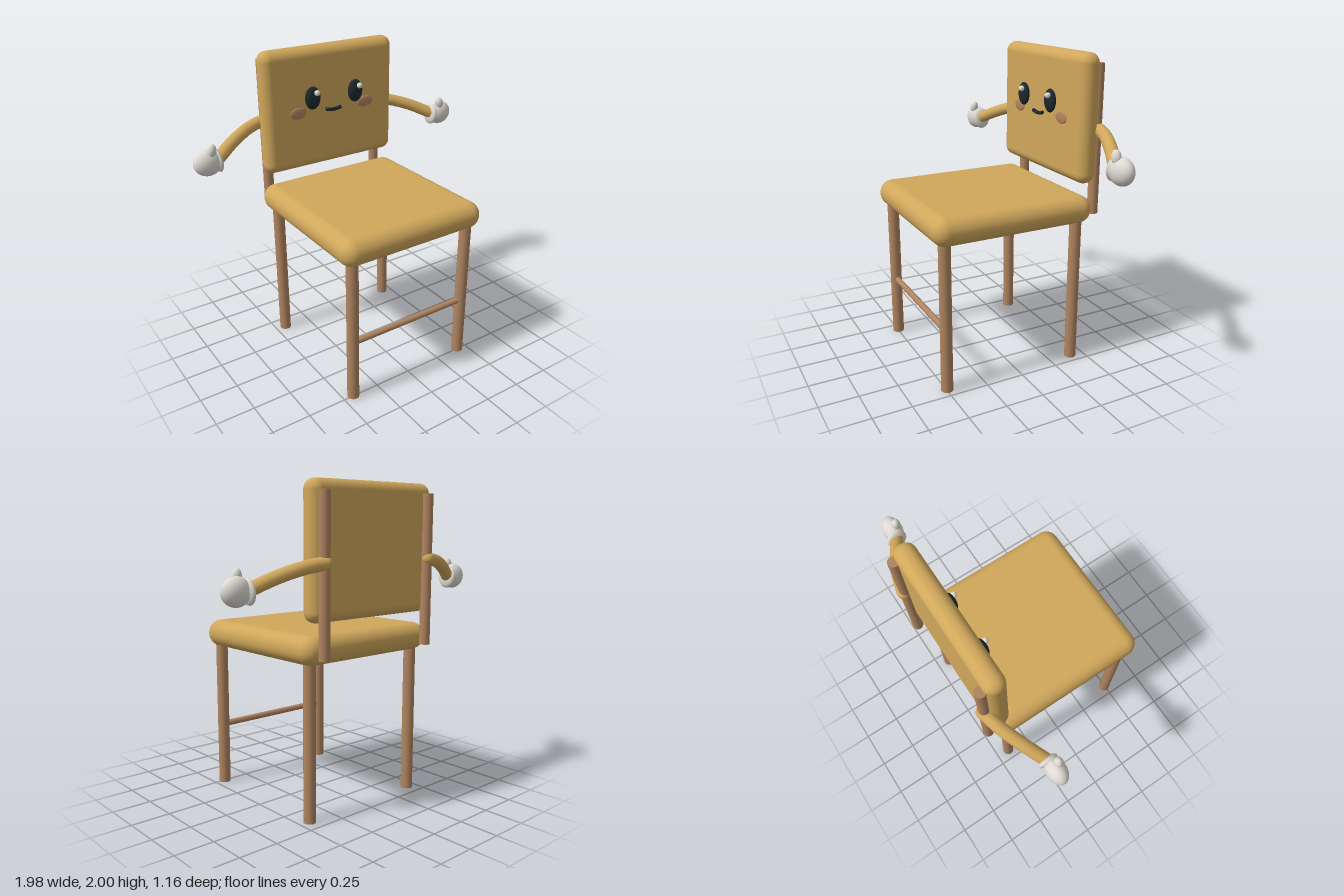
import * as THREE from 'three';
import { RoundedBoxGeometry } from 'three/addons/geometries/RoundedBoxGeometry.js';

const material = (name, color) => {
  const m = new THREE.MeshStandardMaterial({ color });
  m.name = name;
  return m;
};

export function createModel() {
  const model = new THREE.Group();
  model.name = 'chairCharacter';

  const cushion = material('mustard cushion', 0xd0a75b);
  const wood = material('brown wood', 0xb08460);
  const glove = material('off white glove', 0xdedad3);
  const dark = material('dark slate', 0x1d292c);

  const add = (name, geometry, mat, x, y, z, parent = model) => {
    const mesh = new THREE.Mesh(geometry, mat);
    mesh.name = name;
    mesh.position.set(x, y, z);
    parent.add(mesh);
    return mesh;
  };
  const ellipsoid = (rx, ry, rz) => new THREE.SphereGeometry(1, 32, 20).scale(rx, ry, rz);

  // Padded seat and backrest
  add('seat', new RoundedBoxGeometry(1.03, 0.175, 1.075, 8, 0.085), cushion, 0, 1.0375, 0.0375);
  add('backrest', new RoundedBoxGeometry(0.98, 0.8, 0.132, 8, 0.063), cushion, 0, 1.6, -0.456);

  // Rail between the front legs
  const rail = new THREE.CylinderGeometry(0.02, 0.02, 0.8, 20).rotateZ(Math.PI / 2);
  add('frontRail', rail, wood, 0, 0.407, 0.495);

  for (const side of [1, -1]) {
    const label = side > 0 ? 'left' : 'right';

    // Legs and rear post
    const leg = new THREE.CylinderGeometry(0.038, 0.038, 0.97, 24);
    add(label + 'FrontLeg', leg, wood, side * 0.43, 0.485, 0.495);
    add(label + 'BackLeg', leg, wood, side * 0.43, 0.485, -0.408);
    const post = new THREE.CylinderGeometry(0.034, 0.034, 0.94, 24);
    add(label + 'BackPost', post, wood, side * 0.428, 1.465, -0.534);

    // Curved arm
    const arm = new THREE.Group();
    arm.name = label + 'Arm';
    model.add(arm);
    const path = new THREE.CatmullRomCurve3([
      [0.43, 1.538, -0.544], [0.55, 1.518, -0.512], [0.69, 1.472, -0.453], [0.83, 1.405, -0.382],
    ].map(([x, y, z]) => new THREE.Vector3(side * x, y, z)));
    add(label + 'Sleeve', new THREE.TubeGeometry(path, 24, 0.04, 16), cushion, 0, 0, 0, arm);
    add(label + 'Shoulder', new THREE.SphereGeometry(0.04, 20, 14), cushion, side * 0.43, 1.538, -0.544, arm);

    // Gloved hand with cuff and thumb
    add(label + 'Hand', ellipsoid(0.092, 0.083, 0.062), glove, side * 0.9, 1.4, -0.372, arm);
    const cuff = add(label + 'Cuff', ellipsoid(0.025, 0.075, 0.064), glove, side * 0.832, 1.398, -0.382, arm);
    cuff.rotation.z = side * -0.12;
    const thumb = add(label + 'Thumb', ellipsoid(0.03, 0.045, 0.028), glove, side * 0.88, 1.478, -0.346, arm);
    thumb.rotation.z = side * 0.2;

    // Eye, catchlight and cheek
    add(label + 'Eye', ellipsoid(0.055, 0.075, 0.028), dark, side * 0.162, 1.682, -0.364);
    add(label + 'EyeHighlight', ellipsoid(0.019, 0.019, 0.019), glove, side * 0.162 + 0.017, 1.719, -0.335);
    add(label + 'Cheek', ellipsoid(0.06, 0.038, 0.009), wood, side * 0.257, 1.588, -0.388);
  }

  // Smile
  const smile = new THREE.QuadraticBezierCurve3(
    new THREE.Vector3(-0.056, 1.588, -0.376),
    new THREE.Vector3(0, 1.57, -0.376),
    new THREE.Vector3(0.056, 1.588, -0.376),
  );
  add('mouth', new THREE.TubeGeometry(smile, 20, 0.012, 12), dark, 0, 0, 0);
  for (const s of [1, -1]) {
    add('mouthCorner', new THREE.CircleGeometry(0.012, 12).rotateY(s * Math.PI / 2), dark, s * 0.056, 1.588, -0.376);
  }

  return model;
}
